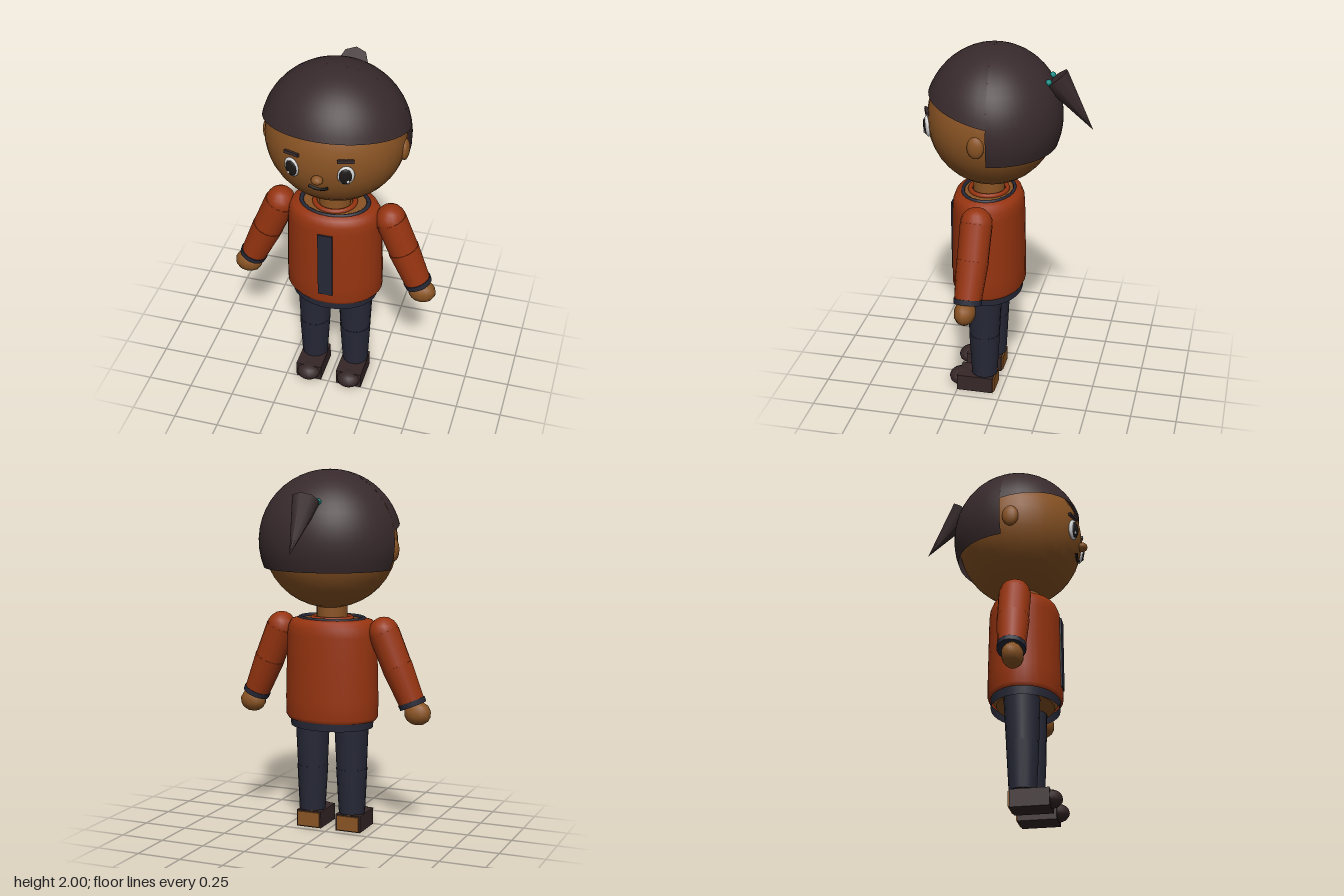
import * as THREE from 'three';

const mat = (name, color, side = THREE.FrontSide) => {
  const m = new THREE.MeshStandardMaterial({ color, side });
  m.name = name;
  return m;
};

export function createModel() {
  const root = new THREE.Group();
  root.name = 'standingChild';
  const skin = mat('skin', 0x8a5424);
  const orange = mat('orangeCloth', 0x963410, THREE.DoubleSide);
  const navy = mat('navyCloth', 0x262836, THREE.DoubleSide);
  const hair = mat('darkHair', 0x382a2c, THREE.DoubleSide);
  const shoe = mat('shoeLeather', 0x362728);
  const teal = mat('tealTie', 0x128a80);
  const white = mat('eyeWhite', 0xd8d8d8);
  const dark = mat('pupilBlack', 0x1c1818);

  const add = (name, geo, material, pos = [0, 0, 0], parent = root) => {
    const m = new THREE.Mesh(geo, material);
    m.name = name;
    m.position.set(...pos);
    parent.add(m);
    return m;
  };
  const ball = (name, material, pos, size, parent = root, seg = 16) => {
    const m = add(name, new THREE.SphereGeometry(1, seg, Math.max(6, seg * 0.6 | 0)), material, pos, parent);
    m.scale.set(...size);
    return m;
  };
  const UP = new THREE.Vector3(0, 1, 0);
  // Tapered cylinder from a (radius ra) to b (radius rb)
  const limb = (name, material, a, b, ra, rb, seg = 16) => {
    const p = new THREE.Vector3(...a), q = new THREE.Vector3(...b), d = q.clone().sub(p);
    const m = add(name, new THREE.CylinderGeometry(rb, ra, d.length(), seg), material);
    m.position.copy(p).add(q).multiplyScalar(0.5);
    m.quaternion.setFromUnitVectors(UP, d.normalize());
    return m;
  };
  // Flat ring lying around the vertical axis
  const ring = (name, material, pos, rx, rz, tube) => {
    const g = new THREE.TorusGeometry(rx, tube, 8, 28).rotateX(Math.PI / 2).scale(1, 1, rz / rx);
    return add(name, g, material, pos);
  };

  // Head and neck
  const HC = [0, 1.61, 0.075], HR = [0.37, 0.36, 0.345];
  ball('head', skin, HC, HR, root, 32);
  add('neck', new THREE.CylinderGeometry(0.085, 0.085, 0.14, 16), skin, [0, 1.23, 0.1]);
  const faceZ = (x, y) => HC[2] + HR[2] * Math.sqrt(1 - (x / HR[0]) ** 2 - ((y - HC[1]) / HR[1]) ** 2);
  ball('nose', skin, [0, 1.545, 0.427], [0.032, 0.025, 0.028], root, 10);

  // Group resting on the face and turned along its surface
  const onFace = (name, x, y) => {
    const g = new THREE.Group();
    g.name = name;
    g.position.set(x, y, faceZ(x, y));
    const n = new THREE.Vector3(x / HR[0] ** 2, (y - HC[1]) / HR[1] ** 2, (g.position.z - HC[2]) / HR[2] ** 2);
    g.lookAt(g.position.clone().add(n));
    root.add(g);
    return g;
  };
  for (const s of [1, -1]) {
    const side = s > 0 ? 'left' : 'right';
    const eye = onFace(side + 'Eye', s * 0.14, 1.58);
    ball('eyeWhite', white, [0, 0, 0.002], [0.044, 0.058, 0.016], eye);
    ball('pupil', dark, [-s * 0.003, 0, 0.01], [0.034, 0.047, 0.014], eye);
    ball('eyeGlint', white, [s * 0.008, -0.026, 0.021], [0.008, 0.009, 0.006], eye, 8);
    const brow = onFace(side + 'Brow', s * 0.137, 1.662);
    const bar = add('browBar', new THREE.BoxGeometry(0.085, 0.016, 0.016), hair, [0, 0, 0.006], brow);
    bar.rotation.z = -s * 0.05;
    ball(side + 'Ear', skin, [s * 0.365, 1.575, 0.085], [0.025, 0.06, 0.045], root, 14);
  }
  // Smile follows the face
  const smile = [-0.052, -0.028, 0, 0.028, 0.052].map((x) => {
    const y = 1.47 + 6 * x * x;
    return new THREE.Vector3(x, y, faceZ(x, y) + 0.002);
  });
  add('mouth', new THREE.TubeGeometry(new THREE.CatmullRomCurve3(smile), 14, 0.008, 6), dark);

  // Hair: ellipsoid shells running from the crown down to a cut line
  const hairShell = (name, a0, a1, cut) => {
    const C = [0, 1.615, 0.07], R = [0.392, 0.385, 0.365], nu = 24, nv = 14;
    const pos = [], idx = [];
    for (let i = 0; i <= nu; i++) {
      const a = a0 + (a1 - a0) * i / nu;
      let end = 1.5;
      for (let k = 0; k < 12; k++) {
        end = Math.acos((cut(C[2] + R[2] * Math.sin(end) * Math.sin(a)) - C[1]) / R[1]);
      }
      for (let j = 0; j <= nv; j++) {
        const t = end * j / nv;
        pos.push(C[0] + R[0] * Math.sin(t) * Math.cos(a), C[1] + R[1] * Math.cos(t),
          C[2] + R[2] * Math.sin(t) * Math.sin(a));
        if (i < nu && j < nv) {
          const p = i * (nv + 1) + j, q = p + nv + 1;
          idx.push(p, q, p + 1, q, q + 1, p + 1);
        }
      }
    }
    const g = new THREE.BufferGeometry();
    g.setAttribute('position', new THREE.Float32BufferAttribute(pos, 3));
    g.setIndex(idx);
    g.computeVertexNormals();
    add(name, g, hair);
  };
  const split = 0.11;
  hairShell('frontHair', -split, Math.PI + split, (z) => 1.68 + 0.205 * (z - 0.03));
  hairShell('backHair', Math.PI + split, 2 * Math.PI - split, () => 1.47);

  // Ponytail with its tie
  limb('ponytail', hair, [0, 1.843, -0.255], [0, 1.578, -0.455], 0.078, 0.001, 8);
  for (const s of [1, -1]) ball('hairTie', teal, [s * 0.06, 1.838, -0.23], [0.018, 0.017, 0.018], root, 8);

  // Jumper body
  const profile = [[0.25, 0.63], [0.264, 0.65], [0.265, 0.75], [0.26, 0.95], [0.256, 1.1], [0.25, 1.145],
    [0.232, 1.18], [0.185, 1.193]].map((p) => new THREE.Vector2(...p));
  add('jumper', new THREE.LatheGeometry(profile, 32).scale(1, 1, 0.755), orange, [0, 0, 0.1]);
  add('chest', new THREE.CylinderGeometry(0.19, 0.19, 0.04, 28).scale(1, 1, 0.755), skin, [0, 1.165, 0.1]);
  ring('neckline', navy, [0, 1.189, 0.1], 0.182, 0.138, 0.012);
  ring('innerCollar', orange, [0, 1.19, 0.1], 0.108, 0.1, 0.014);
  add('frontStripe', new THREE.BoxGeometry(0.08, 0.4, 0.009), navy, [0, 0.9, 0.3]);
  add('waistband', new THREE.CylinderGeometry(0.238, 0.235, 0.05, 32, 1, true).scale(1, 1, 0.78), navy, [0, 0.613, 0.1]);
  add('hips', new THREE.CylinderGeometry(0.225, 0.2, 0.03, 28).scale(1, 1, 0.77), skin, [0, 0.62, 0.1]);

  for (const s of [1, -1]) {
    const side = s > 0 ? 'left' : 'right';
    // Arm
    const shoulder = [s * 0.305, 1.125, 0.098], elbow = [s * 0.388, 0.925, 0.102], wrist = [s * 0.467, 0.745, 0.11];
    ball(side + 'Shoulder', orange, shoulder, [0.083, 0.086, 0.086]);
    limb(side + 'UpperSleeve', orange, shoulder, elbow, 0.086, 0.083);
    limb(side + 'LowerSleeve', orange, [s * 0.38, 0.945, 0.102], wrist, 0.086, 0.072);
    limb(side + 'Cuff', navy, [s * 0.462, 0.757, 0.11], [s * 0.473, 0.731, 0.11], 0.077, 0.075);
    ball(side + 'Hand', skin, [s * 0.495, 0.69, 0.12], [0.077, 0.066, 0.058], root, 12);

    // Leg
    limb(side + 'Thigh', navy, [s * 0.117, 0.62, 0.1], [s * 0.118, 0.35, 0.103], 0.097, 0.085);
    limb(side + 'Shin', navy, [s * 0.118, 0.355, 0.103], [s * 0.12, 0.1, 0.103], 0.087, 0.073);
    add(side + 'Ankle', new THREE.CylinderGeometry(0.06, 0.06, 0.05, 14), skin, [s * 0.12, 0.088, 0.105]);

    // Shoe with bare heel and rounded toe
    add(side + 'Shoe', new THREE.BoxGeometry(0.146, 0.094, 0.205), shoe, [s * 0.118, 0.047, 0.1475]);
    add(side + 'Heel', new THREE.BoxGeometry(0.13, 0.082, 0.009), skin, [s * 0.118, 0.047, 0.041]);
    ball(side + 'Toe', shoe, [s * 0.118, 0.052, 0.245], [0.068, 0.047, 0.063], root, 14);
  }
  return root;
}
